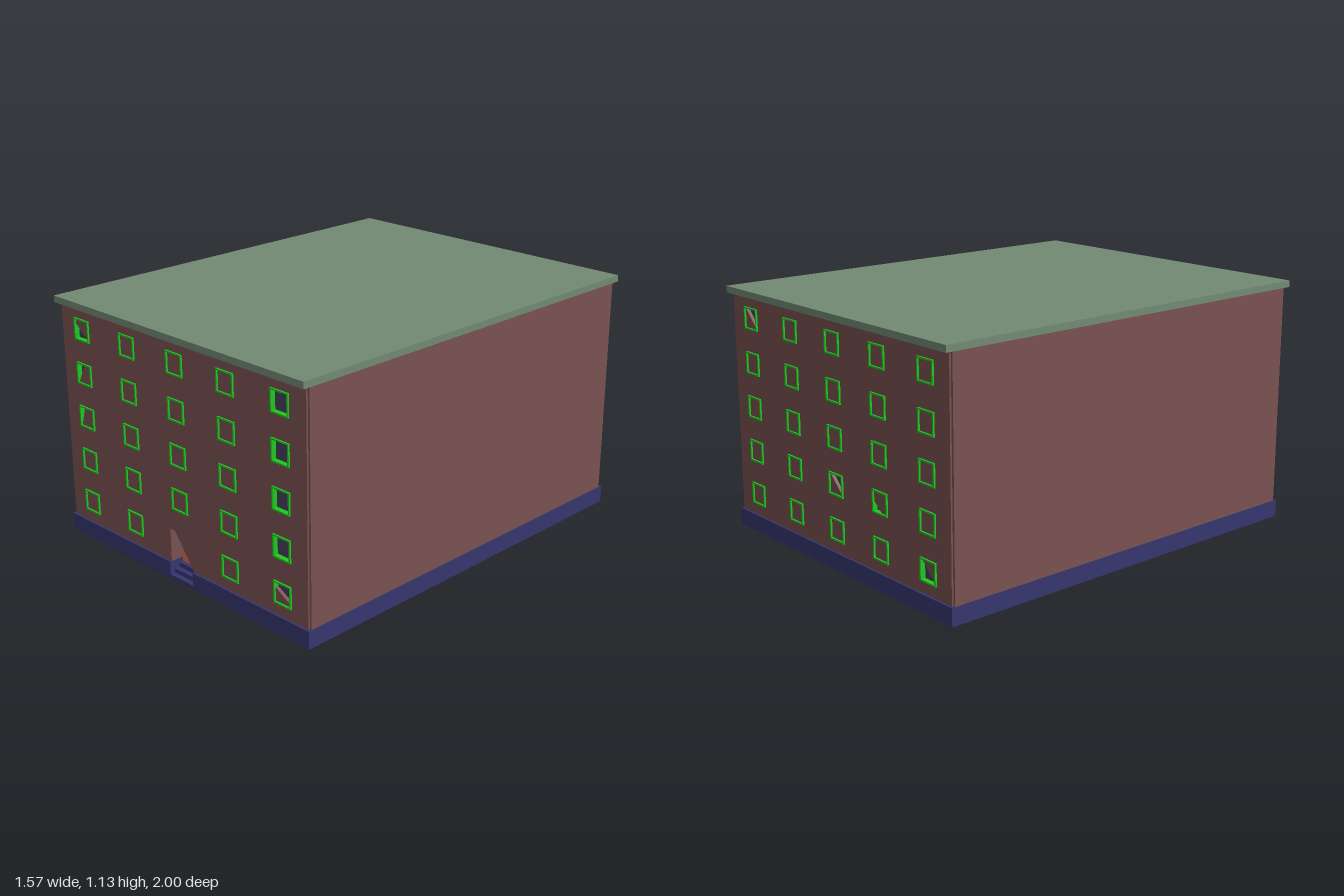
import * as THREE from 'three';

const mat = (color) => new THREE.MeshStandardMaterial({ color, flatShading: true });
const M = {
  wall: mat(0x7a5250), base: mat(0x35356f), roof: mat(0x728a74),
  frame: mat(0x1fc81f), pane: mat(0x45405f), door: mat(0xd86c48), handle: mat(0x8a4a34),
};

const COLS = [-0.627, -0.313, 0, 0.313, 0.627];
const ROWS = [0.183, 0.387, 0.592, 0.796, 1.0];
const FACE = 0.973;   // outer plane of the facades
const HALF = 0.045;   // half size of a window opening
const DOOR = 0.075;   // half width of the entrance

function add(parent, name, geometry, material, x = 0, y = 0, z = 0) {
  const mesh = new THREE.Mesh(geometry, material);
  mesh.name = name;
  mesh.position.set(x, y, z);
  parent.add(mesh);
  return mesh;
}

// Box given by its two opposite corners
function block(parent, name, material, [x0, y0, z0], [x1, y1, z1]) {
  return add(parent, name, new THREE.BoxGeometry(x1 - x0, y1 - y0, z1 - z0), material,
    (x0 + x1) / 2, (y0 + y1) / 2, (z0 + z1) / 2);
}

const polygon = (points) => new THREE.Shape(points.map(([x, y]) => new THREE.Vector2(x, y)));
const square = (h) => polygon([[-h, -h], [h, -h], [h, h], [-h, h]]);
const extrude = (shape, depth) => new THREE.ExtrudeGeometry(shape, { depth, bevelEnabled: false });

// Facade wall with window frames; openings are [column, row, outline in half sizes]
function facade(name, openings, hasDoor) {
  const group = new THREE.Group();
  group.name = name;
  const notch = hasDoor ? [[-DOOR, 0.08], [-DOOR, 0.235], [-0.045, 0.235], [DOOR, 0.08]] : [];
  const shape = polygon([[-0.77, 0.08], ...notch, [0.77, 0.08], [0.77, 1.1], [-0.77, 1.1]]);
  for (const [c, r, outline] of openings) {
    shape.holes.push(polygon(outline.map(([u, v]) => [COLS[c] + u * HALF, ROWS[r] + v * HALF])));
  }
  add(group, 'facadeWall', extrude(shape, 0.02), M.wall, 0, 0, FACE - 0.02);

  const frameShape = square(0.05);
  frameShape.holes.push(square(0.043));
  const frame = extrude(frameShape, 0.025);
  COLS.forEach((x, c) => ROWS.forEach((y, r) => {
    if (hasDoor && c === 2 && r === 0) return;
    add(group, 'windowFrame', frame, M.frame, x, y, FACE - 0.017);
  }));
  for (const [c, r] of openings) {
    add(group, 'windowPane', new THREE.BoxGeometry(0.1, 0.1, 0.01), M.pane, COLS[c], ROWS[r], FACE - 0.02);
  }
  return group;
}

// Recessed entrance with double door, jambs and steps
function entrance() {
  const group = new THREE.Group();
  group.name = 'entrance';
  for (const s of [-1, 1]) {
    add(group, 'doorLeaf', new THREE.BoxGeometry(DOOR - 0.0005, 0.175, 0.01), M.door, s * DOOR / 2, 0.1475, 0.908);
    add(group, 'doorHandle', new THREE.BoxGeometry(0.005, 0.005, 0.008), M.handle, s * 0.008, 0.147, 0.915);
    add(group, 'doorJamb', new THREE.BoxGeometry(0.005, 0.16, 0.06), M.wall, s * (DOOR + 0.0025), 0.16, 0.933);
    add(group, 'stepCheek', new THREE.BoxGeometry(0.005, 0.08, 0.08), M.base, s * (DOOR + 0.0025), 0.04, 0.943);
  }
  block(group, 'doorLintel', M.wall, [-DOOR, 0.235, 0.903], [DOOR, 0.24, 0.96]);
  block(group, 'stepBack', M.base, [-DOOR, 0, 0.898], [DOOR, 0.08, 0.903]);
  for (let i = 0; i < 3; i++) {
    const z = 0.983 - 0.025 * i;
    block(group, 'step', M.base, [-DOOR, 0.02 * i, z - 0.027], [DOOR, 0.02 * (i + 1), z]);
  }
  return group;
}

// Hollow plinth: floor slab notched at the entrance, and a thin skirt
function plinth() {
  const group = new THREE.Group();
  group.name = 'plinth';
  const X = 0.783, Z = 0.983, T = 0.01;
  const floor = polygon([[-X, -Z], [-DOOR, -Z], [-DOOR, -0.9], [DOOR, -0.9], [DOOR, -Z], [X, -Z], [X, Z], [-X, Z]]);
  add(group, 'floorSlab', extrude(floor, 0.01), M.base, 0, 0.07, 0).rotation.x = -Math.PI / 2;
  block(group, 'backSkirt', M.base, [-X, 0, -Z], [X, 0.07, -Z + T]);
  for (const s of [-1, 1]) {
    add(group, 'sideSkirt', new THREE.BoxGeometry(T, 0.07, 2 * (Z - T)), M.base, s * (X - T / 2), 0.035, 0);
    add(group, 'frontSkirt', new THREE.BoxGeometry(X - DOOR, 0.07, T), M.base, s * (X + DOOR) / 2, 0.035, Z - T / 2);
  }
  return group;
}

export function createModel() {
  const model = new THREE.Group();
  model.name = 'apartmentBlock';
  model.add(plinth(), entrance());

  const full = [[-1, -1], [1, -1], [1, 1], [-1, 1]];
  model.add(facade('frontFacade', [
    [0, 4, [[-1, -1], [1, -1], [-1, 0.5]]],
    [0, 3, [[-1, -1], [0, 1], [-1, 1]]],
    [0, 2, [[-1, -1], [-0.4, 1], [-1, 1]]],
    [4, 0, [[-1, 0.4], [1, -0.7], [1, 1], [-1, 1]]],
    ...[1, 2, 3, 4].map((r) => [4, r, full]),
  ], true));

  const back = facade('backFacade', [
    [0, 4, [[1, -1], [1, 1], [-1, 1]]],
    [2, 1, [[1, -1], [1, 1], [-1, 1]]],
    [3, 1, [[-1, -1], [0.2, -1], [-1, 0]]],
    [4, 0, [[-1, -1], [1, -1], [-1, 1]]],
  ], false);
  back.rotation.y = Math.PI;
  model.add(back);

  // Side walls stand slightly proud, leaving a notch at each corner
  for (const s of [-1, 1]) {
    add(model, 'sideWall', new THREE.BoxGeometry(0.02, 1.02, 1.93), M.wall, s * 0.77, 0.59, 0);
  }
  block(model, 'roofSlab', M.roof, [-0.785, 1.1, -1], [0.785, 1.13, 1]);
  return model;
}
